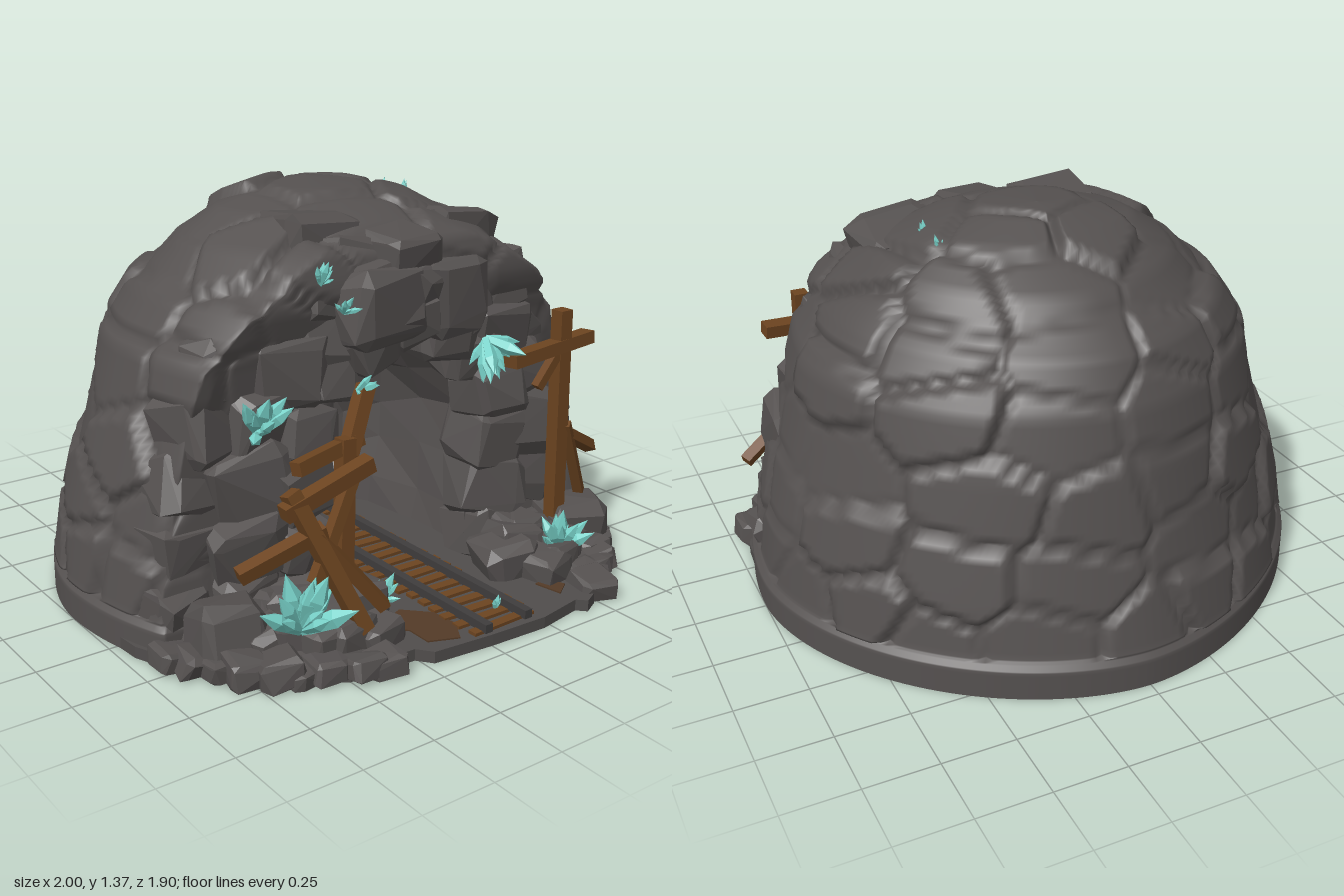
import * as THREE from 'three';
import { ConvexGeometry } from 'three/addons/geometries/ConvexGeometry.js';
import { mergeGeometries } from 'three/addons/utils/BufferGeometryUtils.js';

const mat = (name, color) => Object.assign(new THREE.MeshStandardMaterial({ color }), { name });
const V = (x, y, z) => new THREE.Vector3(x, y, z);

// small seeded random source
let seed = 7;
const rnd = () => (seed = (seed * 16807) % 2147483647) / 2147483647;
const jit = (a) => (rnd() * 2 - 1) * a;

// dome profile: y, half width, depth to back, depth to front, front cut plane
const PROFILE = [
  [0, 1, 0.95, 1.05, 0.44], [0.1, 1, 0.95, 1.05, 0.44], [0.13, 0.975, 0.925, 1.05, 0.42],
  [0.3, 0.95, 0.89, 1.05, 0.4], [0.5, 0.9, 0.845, 1.05, 0.39], [0.7, 0.845, 0.81, 1.05, 0.39],
  [0.9, 0.79, 0.76, 1, 0.42], [1.05, 0.68, 0.68, 0.9, 0.46], [1.2, 0.52, 0.46, 0.6, 0.48],
  [1.3, 0.36, 0.23, 0.36, 0.4], [1.345, 0.19, 0.12, 0.2, 0.3], [1.36, 0.004, 0.004, 0.004, 0.3]];
const ARCH = [[-0.28, 0], [-0.29, 0.25], [-0.29, 0.5], [-0.2, 0.74], [0.02, 0.93],
  [0.22, 0.82], [0.36, 0.62], [0.37, 0.42], [0.33, 0.2], [0.33, 0]];
const BROW = [[-0.92, 0.05], [-0.87, 0.3], [-0.8, 0.6], [-0.67, 0.9], [-0.4, 1.1], [0, 1.16],
  [0.4, 1.1], [0.65, 0.9], [0.78, 0.62], [0.88, 0.3], [0.93, 0.05]];
const curve = (pts) => new THREE.CatmullRomCurve3(pts.map(([x, y]) => V(x, y, 0)));

// slightly pointed plan at the back, cut off flat at the front, summit leaning back
function domePoint(th, y) {
  let k = 1;
  while (k < PROFILE.length - 1 && PROFILE[k][0] < y) k++;
  const p = PROFILE[k - 1], q = PROFILE[k], f = (y - p[0]) / (q[0] - p[0]);
  const [, a, b, c, cut] = p.map((v, i) => v + (q[i] - v) * f);
  const s = Math.sin(th), depth = s > 0 ? c : b, e = s > 0 ? 2 : 1.78;
  const r = (Math.abs(Math.cos(th) / a) ** e + Math.abs(s / depth) ** e) ** (-1 / e);
  return V(Math.cos(th) * r, y, Math.min(s * r, cut) - 0.09 * THREE.MathUtils.smoothstep(y, 1.05, 1.36));
}

// surface over a u/v grid; keep() can leave cells out
function gridGeometry(nu, nv, fn, wrap = false, keep = () => true) {
  const pts = [], index = [], cols = wrap ? nu : nu + 1;
  for (let j = 0; j <= nv; j++) for (let i = 0; i < cols; i++) pts.push(fn(i / nu, j / nv));
  for (let j = 0; j < nv; j++) for (let i = 0; i < nu; i++) {
    const i2 = (i + 1) % cols, a = j * cols + i, b = j * cols + i2, c = a + cols, d = b + cols;
    if (keep(pts[a].clone().add(pts[d]).multiplyScalar(0.5))) index.push(a, c, b, b, c, d);
  }
  const g = new THREE.BufferGeometry().setFromPoints(pts);
  g.setIndex(index);
  g.computeVertexNormals();
  return g;
}

// shell of fitted stones, with narrow grooves where two neighbouring stones meet
function domeGeometry() {
  const stones = [];
  for (const [y, n] of [[0.2, 19], [0.4, 15], [0.62, 13], [0.85, 11], [1.04, 10], [1.18, 8], [1.29, 5], [1.36, 1]])
    for (let i = 0; i < n; i++) {
      const p = domePoint(((i + jit(0.34) + y * 2) / n) * Math.PI * 2, Math.min(1.36, y + jit(0.045)));
      stones.push({ p, lift: jit(0.018) });
    }
  const inHole = (p) => {
    let inside = false;
    ARCH.forEach(([x1, y1], i) => {
      const [x2, y2] = ARCH[(i + 1) % ARCH.length];
      if ((y1 > p.y) !== (y2 > p.y) && p.x < x1 + ((p.y - y1) / (y2 - y1)) * (x2 - x1)) inside = !inside;
    });
    return inside && p.z > 0.25;
  };
  return gridGeometry(260, 88, (u, v) => {
    const t = v * (PROFILE.length - 1), k = Math.min(Math.floor(t), PROFILE.length - 2);
    const y = PROFILE[k][0] + (PROFILE[k + 1][0] - PROFILE[k][0]) * (t - k);
    const p = domePoint(u * Math.PI * 2, y);
    if (y < 0.125) return p;
    let d1 = 9, d2 = 9, lift = 0;
    for (const s of stones) {
      const d = Math.hypot(p.x - s.p.x, (p.y - s.p.y) * 1.4, p.z - s.p.z);
      if (d < d1) { d2 = d1; d1 = d; lift = s.lift; } else if (d < d2) d2 = d;
    }
    const body = THREE.MathUtils.smoothstep(d2 - d1, 0, 0.05);
    const n = V(p.x, Math.max(0, p.y - 0.75) * 1.3, p.z).normalize();
    return p.addScaledVector(n, body * (0.024 + lift) - 0.018);
  }, true, (p) => !inHole(p));
}

// chiselled block with cut corners, given by half sizes, resting no lower than the ground
function stoneGeometry(c, h, turn = 0.3) {
  const pts = [];
  for (const x of [-1, 1]) for (const y of [-1, 1]) for (const z of [-1, 1]) for (let k = 0; k < 3; k++) {
    const m = [0, 1, 2].map((a) => (a === k ? 0.93 + jit(0.12) : 0.66 + jit(0.16)));
    pts.push(V(x * m[0] * h[0], y * m[1] * h[1], z * m[2] * h[2]));
  }
  const g = new ConvexGeometry(pts);
  g.rotateX(jit(turn)).rotateY(jit(turn)).rotateZ(jit(turn)).translate(...c);
  const pos = g.attributes.position;
  for (let i = 0; i < pos.count; i++) pos.setY(i, Math.max(0.003, pos.getY(i)));
  g.computeVertexNormals();
  return g;
}

function crystalCluster(pos, dir, size, n) {
  const parts = [];
  const aim = V(...dir).normalize();
  for (let i = 0; i < n; i++) {
    const len = size * (i ? 0.55 + rnd() * 0.4 : 1), w = len * 0.15;
    const g = new THREE.LatheGeometry([[0, 0], [w * 0.7, 0.001], [w, len * 0.6], [0, len]]
      .map(([x, y]) => new THREE.Vector2(x, y)), 5).toNonIndexed();
    g.computeVertexNormals();
    const d = aim.clone().add(V(jit(1.1), jit(0.7), jit(0.6)).multiplyScalar(i ? 1 : 0.15)).normalize();
    g.applyQuaternion(new THREE.Quaternion().setFromUnitVectors(V(0, 1, 0), d));
    parts.push(g.translate(...pos));
  }
  return mergeGeometries(parts);
}

export function createModel() {
  seed = 7;
  const rock = mat('rock', 0x555150), ground = mat('ground', 0x504d4c), iron = mat('iron', 0x3f3d3d);
  const wood = mat('wood', 0x6c4420), crystal = mat('crystal', 0x78d2c9), dirt = mat('dirt', 0x543b27);
  const model = new THREE.Group();
  const add = (name, geo, material) => {
    const m = new THREE.Mesh(geo, material);
    m.name = name;
    model.add(m);
    return m;
  };

  add('rockDome', domeGeometry(), rock);

  // cave: arches shrinking toward the back wall
  const arch = curve(ARCH), brow = curve(BROW);
  const depth = [[0.42, 1.06, 1.03], [0.26, 1.15, 1], [0.06, 1.18, 0.94], [-0.14, 1.1, 0.84], [-0.3, 0.9, 0.7], [-0.38, 0.55, 0.5], [-0.4, 0, 0.2]];
  const cave = gridGeometry(12, 6, (u, v) => {
    const [z, sx, sy] = depth[Math.round(v * 6)], p = arch.getPointAt(u), j = v > 0 && v < 1 ? 0.022 : 0;
    return V(0.03 + (p.x - 0.03) * sx + jit(j), p.y * sy + (u > 0 && u < 1 ? jit(j) : 0), z + jit(j));
  }).toNonIndexed();
  cave.computeVertexNormals();
  add('caveWalls', cave, rock);

  // facade stones in rings from the opening out to the brow
  const facade = [];
  for (const [f, n, size, z] of [[0.2, 13, 0.115, 0.39], [0.52, 14, 0.15, 0.355], [0.85, 16, 0.125, 0.29]])
    for (let i = 0; i < n; i++) {
      const u = (i + 0.5) / n, p = arch.getPointAt(u).lerp(brow.getPointAt(u), f);
      const s = size * (1 + jit(0.18)), high = Math.max(0, p.y - 0.8) * 0.2;
      facade.push(stoneGeometry([p.x, p.y, z + high + jit(0.025)], [s, s * 0.88, 0.11 + jit(0.02)]));
    }
  for (const [c, h] of [[[-0.1, 1.03, 0.46], [0.18, 0.13, 0.1]], [[0.2, 1.02, 0.43], [0.14, 0.14, 0.1]],
    [[-0.2, 1.22, 0.2], [0.15, 0.09, 0.15]], [[0.37, 1.17, 0.22], [0.15, 0.1, 0.14]],
    [[0.02, 1.18, 0.4], [0.13, 0.08, 0.12]]]) facade.push(stoneGeometry(c, h, 0.15));
  add('facadeStones', mergeGeometries(facade), rock);

  // floor slab with a ragged front apron
  const outline = [[0.96, 0.35], [0.88, 0.54], [0.66, 0.76], [0.5, 0.85], [0.48, 0.92], [0.42, 0.95], [0.39, 0.92], [0.22, 0.95], [0, 0.94],
    [-0.22, 0.92], [-0.26, 0.87], [-0.5, 0.86], [-0.75, 0.68], [-0.88, 0.54], [-0.96, 0.35]];
  for (let i = 0; i <= 28; i++) {
    const p = domePoint(Math.PI + (i / 28) * Math.PI, 0);
    outline.push([p.x * 0.99, p.z * 0.99]);
  }
  const plate = (pts, h, top) => new THREE.ExtrudeGeometry(
    new THREE.Shape(pts.map(([x, z]) => new THREE.Vector2(x, z))),
    { depth: h, bevelEnabled: false }).rotateX(Math.PI / 2).translate(0, top, 0);
  add('floor', plate(outline, 0.04, 0.04), ground);
  add('dirtPatchLeft', plate([[-0.28, 0.7], [-0.14, 0.64], [-0.06, 0.72], [-0.05, 0.82], [-0.1, 0.9], [-0.2, 0.86], [-0.2, 0.77]], 0.005, 0.045), dirt);
  add('dirtPatchRight', plate([[0.36, 0.76], [0.42, 0.76], [0.44, 0.82], [0.38, 0.86]], 0.005, 0.045), dirt);
  add('dirtPatchInside', plate([[-0.2, 0.2], [-0.05, 0.15], [-0.06, 0.4], [-0.16, 0.45]], 0.005, 0.045), dirt);

  // rubble on both sides of the apron, with larger boulders by the walls
  const rubble = [];
  for (const side of [-1, 1]) {
    const path = new THREE.CatmullRomCurve3([V(0.92, 0, 0.42), V(0.82, 0, 0.58), V(0.62, 0, 0.77), V(side < 0 ? 0.34 : 0.49, 0, 0.88)]);
    for (let row = 0; row < 3; row++) for (let i = 0; i < 9 - row; i++) {
      const p = path.getPointAt((i + 0.5) / (9 - row)).multiplyScalar(1 - row * 0.14);
      const s = 0.058 + row * 0.016 + rnd() * 0.02, h = 0.035 + row * 0.025 + rnd() * 0.02;
      rubble.push(stoneGeometry([p.x * side + jit(0.015), h * 0.85, p.z + jit(0.015)], [s, h, s], 0.25));
    }
    rubble.push(stoneGeometry([side * 0.74, 0.1, 0.54], [0.12, 0.11, 0.1]));
    rubble.push(stoneGeometry([side * 0.45, 0.09, 0.53], [0.1, 0.1, 0.1]));
  }
  add('rubble', mergeGeometries(rubble), rock);

  // mine track
  for (const x of [-0.01, 0.16]) {
    const rail = add('rail', new THREE.BoxGeometry(0.03, 0.03, 1.23), iron);
    rail.position.set(x, 0.062, 0.32);
  }
  for (let i = 0; i < 19; i++) {
    const tie = add('railTie', new THREE.BoxGeometry(0.27 + jit(0.02), 0.012, 0.034), wood);
    tie.position.set(0.075, 0.045, 0.9 - i * 0.062);
    tie.rotation.y = jit(0.06);
  }

  // timber props, each from end to end
  const beam = (name, a, b, w, d = w) => {
    const from = V(...a), to = V(...b);
    const m = add(name, new THREE.BoxGeometry(w, from.distanceTo(to), d), wood);
    m.position.copy(from).add(to).multiplyScalar(0.5);
    m.quaternion.setFromUnitVectors(V(0, 1, 0), to.sub(from).normalize());
  };
  beam('rightPost', [0.645, 0.14, 0.55], [0.645, 0.92, 0.54], 0.052);
  beam('rightCrossbeam', [0.39, 0.78, 0.56], [0.79, 0.8, 0.53], 0.045, 0.06);
  beam('rightBraceUpper', [0.53, 0.66, 0.55], [0.62, 0.77, 0.55], 0.032);
  beam('rightBraceLong', [0.68, 0.46, 0.55], [0.92, 0.33, 0.45], 0.04);
  beam('rightBraceSteep', [0.67, 0.5, 0.56], [0.8, 0.2, 0.52], 0.035);
  beam('leftPostOuter', [-0.38, 0.1, 0.77], [-0.57, 0.56, 0.64], 0.05);
  beam('leftPostInner', [-0.34, 0.1, 0.6], [-0.31, 0.66, 0.57], 0.05);
  beam('leftCrossbeam', [-0.6, 0.5, 0.65], [-0.28, 0.6, 0.66], 0.05);
  beam('leftCrossbeamUpper', [-0.52, 0.61, 0.6], [-0.24, 0.64, 0.55], 0.045);
  beam('leftRafter', [-0.3, 0.6, 0.57], [-0.18, 0.79, 0.5], 0.05);
  beam('leftBraceLow', [-0.75, 0.33, 0.63], [-0.47, 0.43, 0.68], 0.045);
  beam('leftBraceCross', [-0.52, 0.27, 0.7], [-0.33, 0.57, 0.64], 0.038);
  beam('leftBraceSteep', [-0.5, 0.42, 0.68], [-0.28, 0.14, 0.74], 0.04);
  beam('innerPost', [-0.24, 0.04, 0.28], [-0.24, 0.4, 0.28], 0.045);

  // crystal clusters: position, direction, size, count
  [[[-0.57, 0.7, 0.47], [0, 0.75, 0.5], 0.17, 18], [[-0.57, 0.13, 0.7], [0, 1, 0.4], 0.23, 16],
    [[0.35, 0.85, 0.48], [-0.2, -0.5, 0.4], 0.17, 16], [[0.55, 0.09, 0.67], [0, 1, 0.3], 0.17, 18],
    [[-0.33, 1.13, 0.46], [0, 0.9, 0.4], 0.09, 7], [[-0.29, 1.05, 0.53], [0.1, 0.6, 0.5], 0.07, 6],
    [[0.36, 1.27, 0], [0.2, 1, 0.1], 0.06, 6], [[0.36, 1.26, -0.12], [0.2, 1, 0], 0.06, 6],
    [[-0.56, 0.99, 0.3], [-0.2, 0.9, 0.4], 0.08, 7], [[-0.22, 0.78, 0.51], [0.2, 0.6, 0.5], 0.08, 6],
    [[-0.24, 0.12, 0.67], [0.1, 1, 0.3], 0.11, 7], [[-0.2, 0.04, 0.1], [0.2, 1, 0.3], 0.14, 8],
    [[0.12, 0.04, 0.82], [0, 1, 0.2], 0.06, 5]]
    .forEach((c) => add('crystalCluster', crystalCluster(...c), crystal));
  return model;
}
